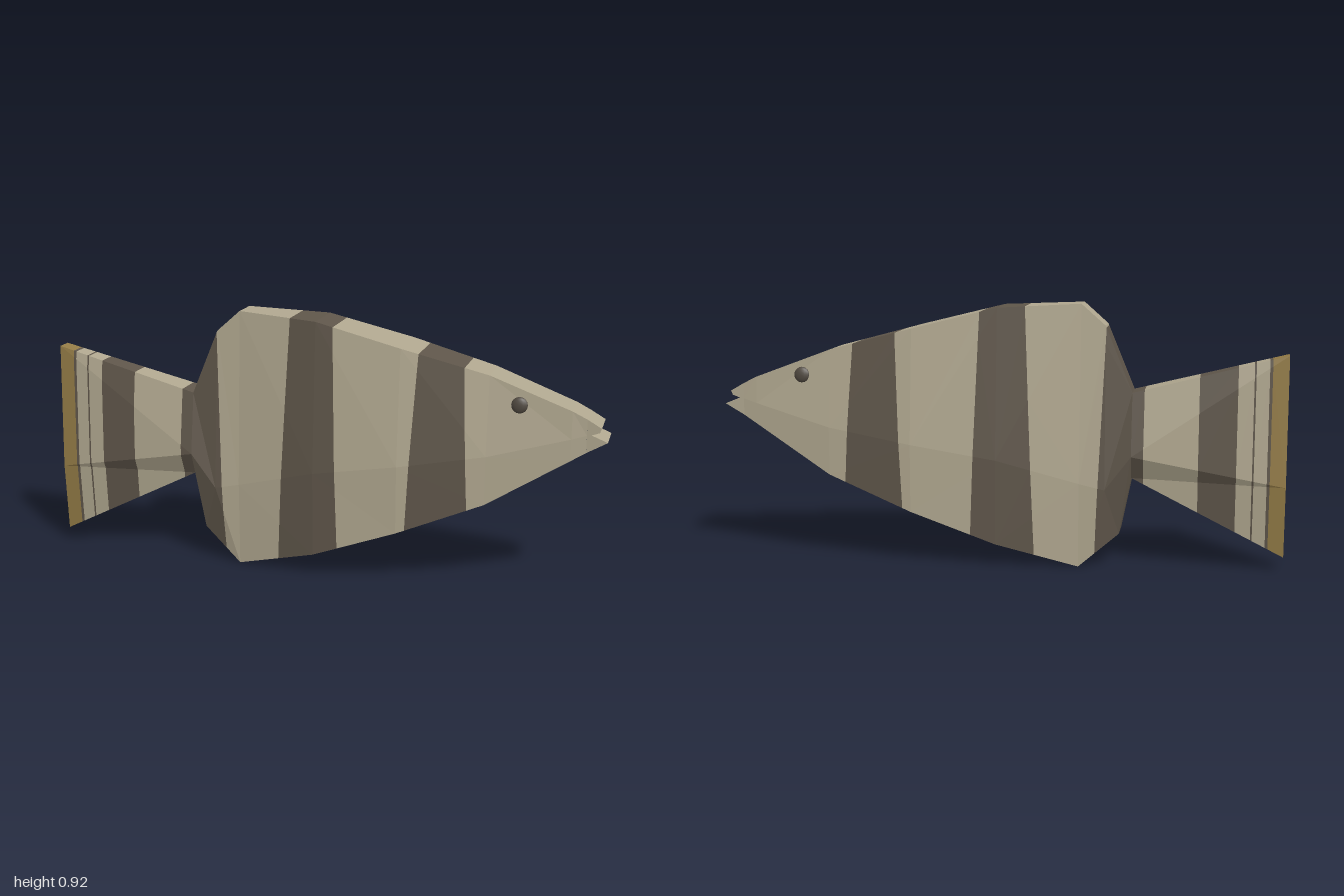
import * as THREE from 'three';

const mat = (name, color) => {
  const m = new THREE.MeshStandardMaterial({ color });
  m.name = name;
  return m;
};

// Cross-sections from tail to snout.
// Each: [top x, y, half width], [side crease ...], [bottom ...], z shift
const tailSections = [
  [[-1, 0.755, 0.03], [-1, 0.3, 0.048], [-1, 0.05, 0.03], 0],
  [[-0.47, 0.62, 0.056], [-0.47, 0.4, 0.092], [-0.47, 0.32, 0.055], 0],
];
const bodySections = [
  tailSections[1],
  [[-0.375, 0.85, 0.052], [-0.38, 0.28, 0.092], [-0.43, 0.12, 0.06], 0],
  [[-0.29, 0.925, 0.053], [-0.29, 0.3, 0.093], [-0.29, 0.003, 0.09], 0],
  [[0, 0.91, 0.092], [0, 0.38, 0.134], [0, 0.08, 0.133], 0.007],
  [[0.3, 0.835, 0.104], [0.3, 0.43, 0.145], [0.3, 0.19, 0.143], 0],
  [[0.6, 0.755, 0.078], [0.6, 0.48, 0.113], [0.6, 0.31, 0.113], -0.006],
  [[0.88, 0.65, 0.07], [0.88, 0.555, 0.076], [0.88, 0.48, 0.076], 0],
  [[0.93, 0.625, 0.067], [0.93, 0.57, 0.068], [0.93, 0.51, 0.068], 0],
];

// Stripe borders: x at y = 0.5 and slant; the colour runs from the previous border
const bands = [
  ['gold', -0.945, 0], ['dark', -0.935, 0], ['light', -0.89, 0], ['dark', -0.884, 0],
  ['light', -0.83, 0], ['dark', -0.7, 0], ['light', -0.512, 0], ['dark', -0.364, -0.04],
  ['light', -0.115, 0.045], ['dark', 0.075, -0.035], ['light', 0.345, 0.05],
  ['dark', 0.53, -0.05], ['light', 9, 0],
];

const ring = ([t, m, b, dz]) => [
  ...[t, m, b].map(([x, y, w]) => new THREE.Vector3(x, y, dz + w)),
  ...[b, m, t].map(([x, y, w]) => new THREE.Vector3(x, y, dz - w)),
];

// Triangles of the skin between consecutive rings
function loft(sections, capStart) {
  const rings = sections.map(ring);
  const tris = [];
  for (let i = 0; i + 1 < rings.length; i++) {
    for (let j = 0; j < 6; j++) {
      const k = (j + 1) % 6;
      const a = rings[i][j], b = rings[i][k], c = rings[i + 1][k], d = rings[i + 1][j];
      // mirror the diagonal on the far side
      if (j < 3) tris.push([a, b, c], [a, c, d]);
      else tris.push([a, b, d], [b, c, d]);
    }
  }
  if (capStart) for (let j = 1; j < 5; j++) tris.push([rings[0][0], rings[0][j + 1], rings[0][j]]);
  return tris;
}

// Keep the part of a polygon on one side of a stripe border
function clip(poly, [, x0, slant], sign) {
  const f = (p) => sign * (p.x - x0 - slant * (p.y - 0.5));
  const out = [];
  poly.forEach((p, i) => {
    const q = poly[(i + 1) % poly.length];
    const fp = f(p), fq = f(q);
    if (fp >= 0) out.push(p);
    if ((fp > 0 && fq < 0) || (fp < 0 && fq > 0)) out.push(p.clone().lerp(q, fp / (fp - fq)));
  });
  return out;
}

// One geometry with a material group for each colour
function stripedMesh(name, tris, materials) {
  const names = Object.keys(materials);
  const lists = names.map(() => []);
  bands.forEach((band, i) => {
    const list = lists[names.indexOf(band[0])];
    for (const tri of tris) {
      let poly = clip(tri, band, -1);
      if (i > 0) poly = clip(poly, bands[i - 1], 1);
      for (let j = 1; j + 1 < poly.length; j++) list.push(poly[0], poly[j], poly[j + 1]);
    }
  });
  const geo = new THREE.BufferGeometry().setFromPoints(lists.flat());
  let start = 0;
  lists.forEach((list, i) => {
    if (list.length) geo.addGroup(start, list.length, i);
    start += list.length;
  });
  geo.computeVertexNormals();
  const mesh = new THREE.Mesh(geo, Object.values(materials));
  mesh.name = name;
  return mesh;
}

export function createModel() {
  const group = new THREE.Group();
  group.name = 'fish';
  const materials = {
    light: mat('sandy scales', 0xb0a78f),
    dark: mat('dark stripes', 0x5f564a),
    gold: mat('golden tail edge', 0x937b46),
  };
  const eyeMat = mat('eye', 0x4f483f);

  group.add(stripedMesh('tail', loft(tailSections, true), materials));
  group.add(stripedMesh('body', loft(bodySections, false), materials));

  // Snout with a notched mouth
  const jaw = new THREE.Shape([
    [0.93, 0.625], [0.978, 0.597], [0.972, 0.582], [0.945, 0.572], [1, 0.55], [0.93, 0.51],
  ].map(([x, y]) => new THREE.Vector2(x, y)));
  const jawGeo = new THREE.ExtrudeGeometry(jaw, { depth: 0.134, bevelEnabled: false });
  jawGeo.translate(0, 0, -0.067);
  const jaws = new THREE.Mesh(jawGeo, materials.light);
  jaws.name = 'jaws';
  group.add(jaws);

  // Eyes
  for (const side of [1, -1]) {
    const eye = new THREE.Mesh(new THREE.SphereGeometry(0.028, 12, 8), eyeMat);
    eye.name = side > 0 ? 'leftEye' : 'rightEye';
    eye.scale.z = 0.4;
    eye.position.set(0.705, 0.663, side * 0.085);
    eye.rotation.x = -side * 0.12;
    group.add(eye);
  }
  return group;
}
